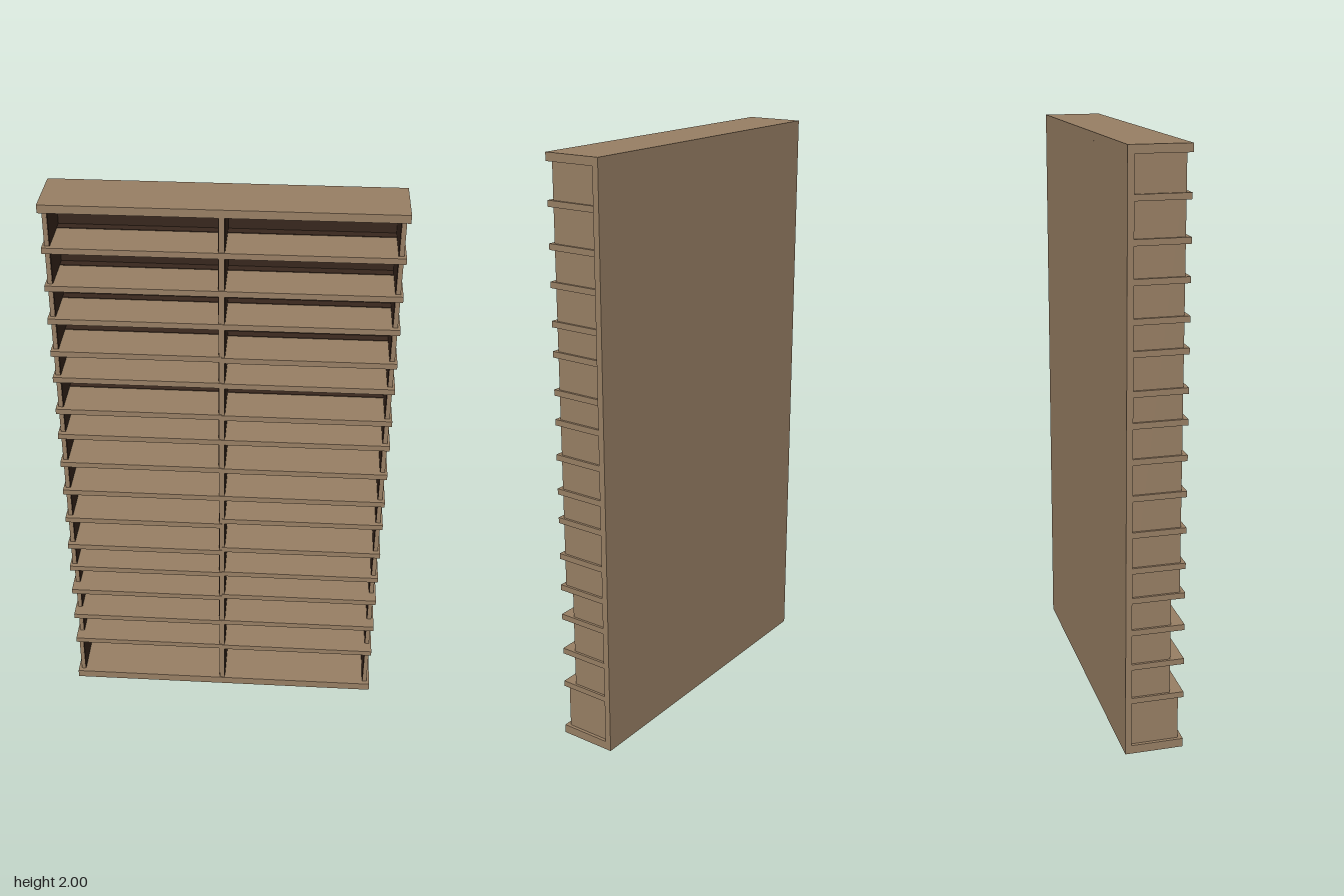
import * as THREE from 'three';

const W = 0.568;    // half width
const D = 0.1;      // half depth
const BACK = -0.075; // inner face of the back panel
const MID = -0.004; // divider centre
const T = 0.01;     // half thickness of a shelf

// Shelf heights in each column
const LEFT_BAY = [0.195, 0.318, 0.442, 0.556, 0.66, 0.783, 0.907, 1.028, 1.146, 1.248, 1.374, 1.474, 1.595, 1.714, 1.846];
const RIGHT_BAY = [0.193, 0.32, 0.45, 0.56, 0.675, 0.805, 0.907, 1.026, 1.146, 1.246, 1.372, 1.47, 1.595, 1.714, 1.846];

export function createModel() {
  const group = new THREE.Group();
  const wood = new THREE.MeshStandardMaterial({ color: 0x987f64 });
  wood.name = 'tan wood';
  const dark = new THREE.MeshStandardMaterial({ color: 0x38271d });
  dark.name = 'dark brown lining';
  // Tan board with a dark underside
  const board = [wood, wood, wood, dark, wood, wood];

  // Box given by its limits on each axis
  function box(name, material, x0, x1, y0, y1, z0, z1) {
    const mesh = new THREE.Mesh(new THREE.BoxGeometry(x1 - x0, y1 - y0, z1 - z0), material);
    mesh.position.set((x0 + x1) / 2, (y0 + y1) / 2, (z0 + z1) / 2);
    mesh.name = name;
    group.add(mesh);
  }

  // Carcass: back, base, top
  box('backPanel', wood, -W, W, 0.03, 1.973, -D, BACK - 0.004);
  box('base', board, -W, W, 0, 0.03, -D, D);
  box('top', board, -W, W, 1.973, 2, -D, D);

  // Dark lining on the back of the bays
  box('backLining', dark, -0.555, 0.555, 0.03, 1.973, BACK - 0.004, BACK);

  // Side walls, set in behind the shelf ends; shallower between the low shelves
  for (const s of [-1, 1]) {
    const span = (a, b) => s > 0 ? [a, b] : [-b, -a];
    const bay = s > 0 ? RIGHT_BAY : LEFT_BAY;
    const sections = [[0.03, bay[0], 0.084], [bay[0], bay[3], 0.055], [bay[3], 1.973, 0.084]];
    for (const [y0, y1, front] of sections) {
      box('sideWall', wood, ...span(0.543, 0.557), y0, y1, BACK - 0.004, front);
      box('sideLining', dark, ...span(0.54, 0.543), y0, y1, BACK, front - 0.001);
    }
  }

  // Centre divider with dark cheeks
  box('divider', wood, MID - 0.009, MID + 0.009, 0.03, 1.973, BACK, 0.097);
  box('dividerLining', dark, MID - 0.011, MID + 0.011, 0.03, 1.973, BACK, 0.086);

  // Shelves, protruding beyond the walls as small lips, with a dark strip at the rear
  function shelf(x0, x1, y) {
    box('shelf', board, x0, x1, y - T, y + T, BACK - 0.004, D);
    box('shelfRearStrip', dark, Math.max(x0, -0.542), Math.min(x1, 0.542), y + T, y + T + 0.002, BACK, -0.045);
  }
  LEFT_BAY.forEach(y => shelf(-W + 0.003, MID, y));
  RIGHT_BAY.forEach(y => shelf(MID, W - 0.003, y));

  return group;
}
